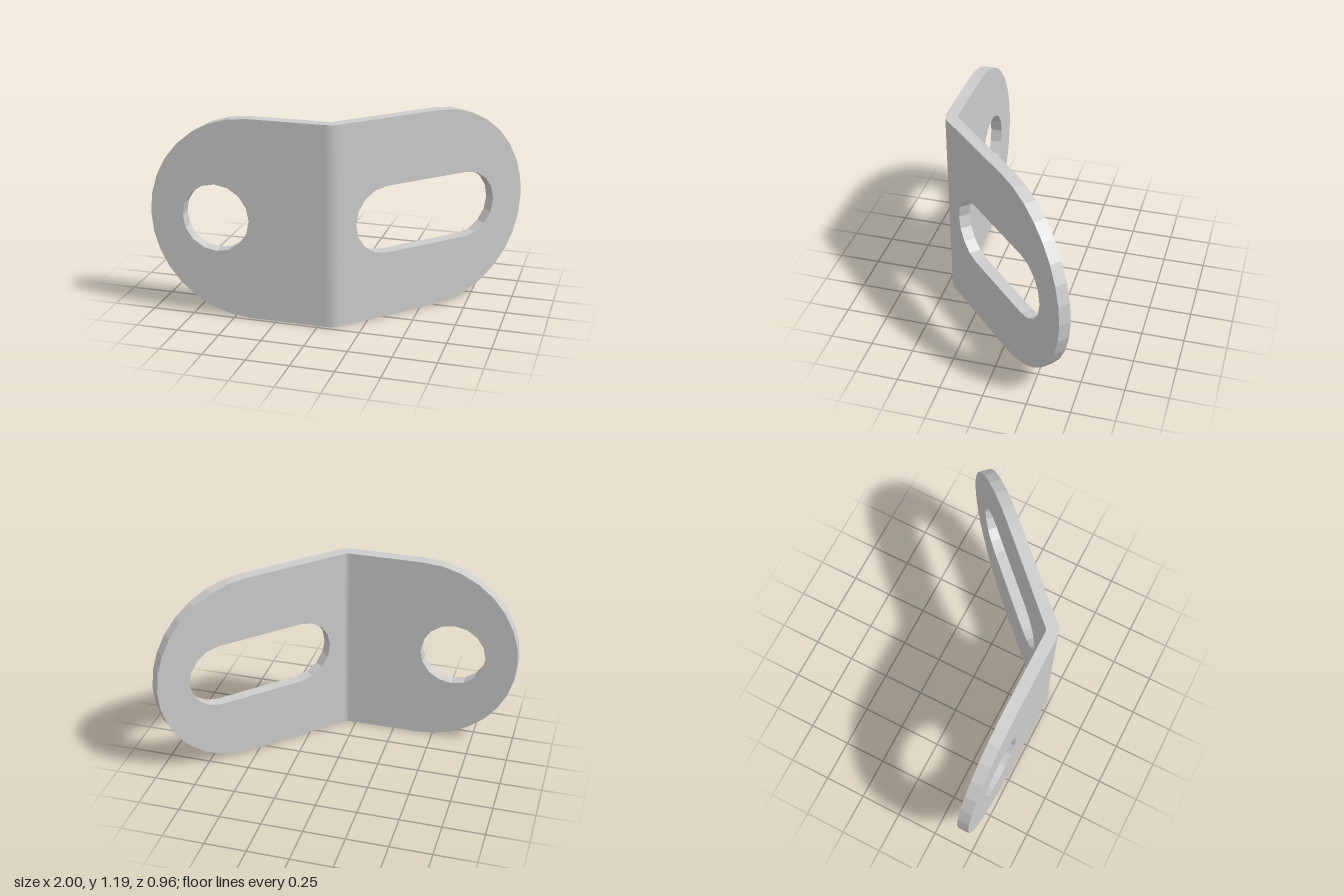
import * as THREE from 'three';
import { toCreasedNormals } from 'three/addons/utils/BufferGeometryUtils.js';

const H = 1.19;            // plate height
const T = 0.07;            // sheet thickness
const R = 0.1;             // outer bend radius
const BEND = Math.PI / 4;  // bend angle
const HOLE_R = 0.2;

// Points of a semicircle, counter-clockwise from angle a
function halfCircle(cx, r, a, segments) {
  const points = [];
  for (let i = 0; i <= segments; i++) {
    const t = a + Math.PI * i / segments;
    points.push(new THREE.Vector2(cx + r * Math.cos(t), H / 2 + r * Math.sin(t)));
  }
  return points;
}

// Remove the end wall at x = 0, where the plate joins the bend
function openSeam(geometry) {
  const g = geometry.index ? geometry.toNonIndexed() : geometry;
  const p = g.attributes.position;
  const kept = [];
  for (let i = 0; i < p.count; i += 3) {
    if ([0, 1, 2].every(k => Math.abs(p.getX(i + k)) < 1e-5)) continue;
    for (let k = 0; k < 3; k++) kept.push(p.getX(i + k), p.getY(i + k), p.getZ(i + k));
  }
  const out = new THREE.BufferGeometry();
  out.setAttribute('position', new THREE.Float32BufferAttribute(kept, 3));
  out.computeVertexNormals();
  return out;
}

// Round-ended plate along +x with an opening between two centres; outer face at z = 0
function plateGeometry(length, c0, c1) {
  const shape = new THREE.Shape([
    new THREE.Vector2(0, H),
    new THREE.Vector2(0, 0),
    ...halfCircle(length - H / 2, H / 2, -Math.PI / 2, 16),
  ]);
  const right = halfCircle(c1, HOLE_R, -Math.PI / 2, 8);
  const left = halfCircle(c0, HOLE_R, Math.PI / 2, 8);
  // A round hole shares its two end points, so drop the duplicates
  const hole = c0 === c1 ? [...right, ...left.slice(1, -1)] : [...right, ...left];
  shape.holes.push(new THREE.Path(hole));
  const g = new THREE.ExtrudeGeometry(shape, { depth: T, bevelEnabled: false });
  g.translate(0, 0, -T);
  return openSeam(g);
}

export function createModel() {
  const group = new THREE.Group();
  group.name = 'angleBracket';
  const material = new THREE.MeshStandardMaterial({ color: 0xcccccc });
  const add = (name, geometry) => {
    const mesh = new THREE.Mesh(geometry, material);
    mesh.name = name;
    group.add(mesh);
    return mesh;
  };
  const bendX = 0.05, bendZ = 0.48 - R;

  // Flat plate with the round hole, turned to run toward -x
  const flat = add('roundHolePlate', plateGeometry(1.05, 0.655, 0.655));
  flat.rotation.z = Math.PI;
  flat.position.set(bendX, H, bendZ + R);

  // Curved strip joining the plates
  const section = [[R - T, 0], [R, 0], [R, H], [R - T, H], [R - T, 0]]
    .map(([x, y]) => new THREE.Vector2(x, y));
  const bend = add('bend', toCreasedNormals(new THREE.LatheGeometry(section, 4, 0, BEND), 0.7));
  bend.position.set(bendX, 0, bendZ);

  // Angled plate with the long slot
  const arm = add('slottedPlate', plateGeometry(1.243, 0.305, 0.84));
  arm.rotation.y = BEND;
  arm.position.set(bendX + R * Math.sin(BEND), 0, bendZ + R * Math.cos(BEND));

  return group;
}
